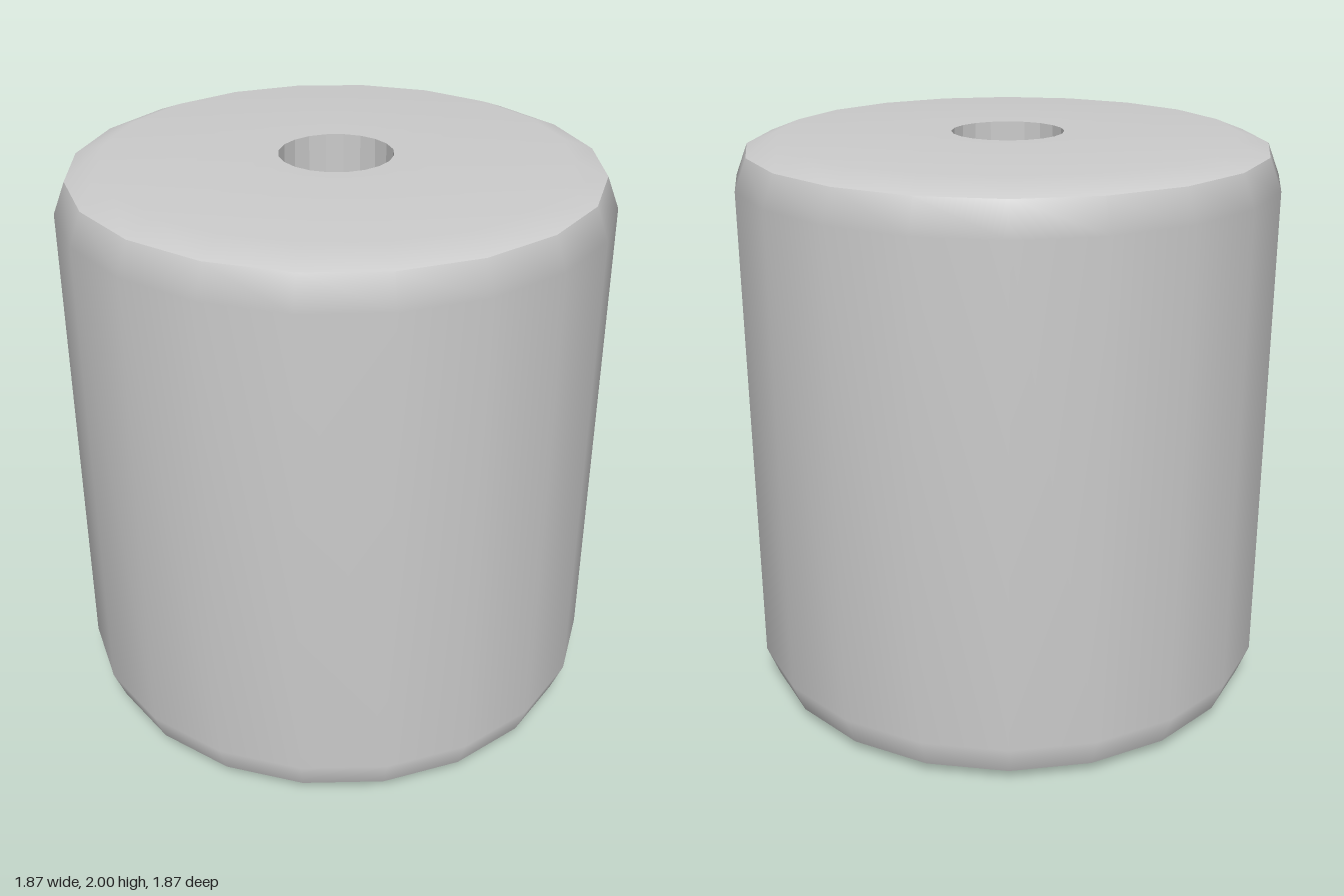
import * as THREE from 'three';
import { mergeVertices } from 'three/addons/utils/BufferGeometryUtils.js';

const SIDES = 20;
const HOLE = 0.193;

// Turned surface with area-weighted smooth normals and a welded seam
function turned(name, profile, material) {
  let geometry = new THREE.LatheGeometry(profile.map(([r, y]) => new THREE.Vector2(r, y)), SIDES);
  geometry.deleteAttribute('uv');
  geometry.deleteAttribute('normal');
  geometry = mergeVertices(geometry, 1e-4);
  geometry.computeVertexNormals();
  const mesh = new THREE.Mesh(geometry, material);
  mesh.name = name;
  return mesh;
}

export function createModel() {
  const smooth = new THREE.MeshStandardMaterial({ color: 0xcccccc });
  const faceted = new THREE.MeshStandardMaterial({ color: 0xcccccc, flatShading: true });
  const group = new THREE.Group();
  group.name = 'boredCylinder';

  // Outer wall with its steep chamfers; hard edges where it meets the end caps
  group.add(turned('outerWall', [[0.893, 0.042], [0.935, 0.15], [0.935, 1.85], [0.893, 1.958]], smooth));

  // End caps with shallow chamfers, open at the bore
  const cap = [[0.893, 1.958], [0.785, 2], [HOLE, 2]];
  group.add(turned('topCap', cap, smooth));
  group.add(turned('bottomCap', cap.map(([r, y]) => [r, 2 - y]).reverse(), smooth));

  // Faceted bore through the axis, facing inward
  group.add(turned('bore', [[HOLE, 2], [HOLE, 0]], faceted));

  return group;
}
